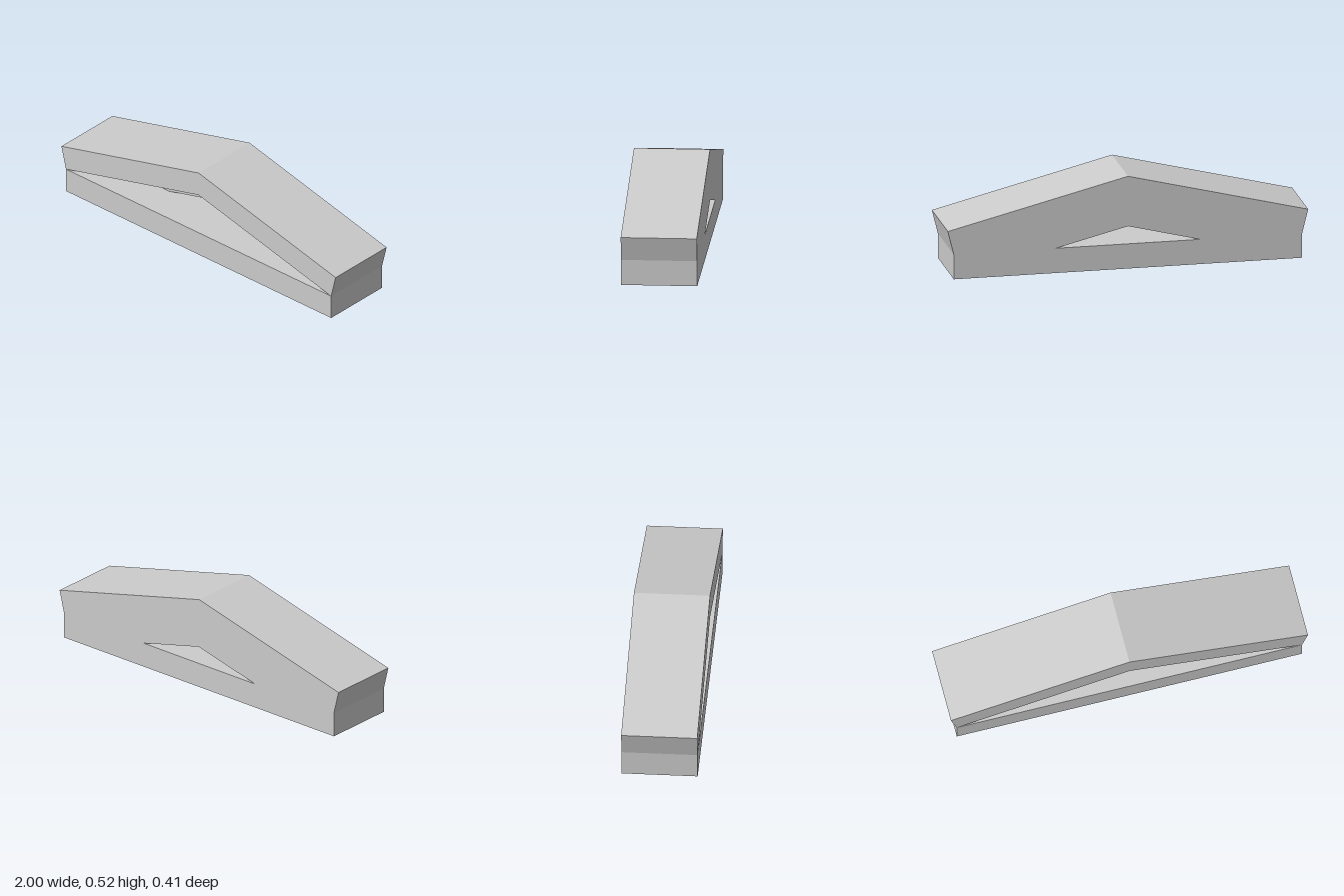
import * as THREE from 'three';

const HALF_DEPTH = 0.207;
const BASE_HEIGHT = 0.14;
const BASE_HALF_WIDTH = 0.967;

export function createModel() {
  const group = new THREE.Group();
  const material = new THREE.MeshStandardMaterial({ color: 0xcccccc, flatShading: true });

  const add = (name, geometry) => {
    const mesh = new THREE.Mesh(geometry, material);
    mesh.name = name;
    group.add(mesh);
    return mesh;
  };

  // Extrudes an outline of [x, y] corners from z = back to z = front
  const slab = (name, corners, back, front) => {
    const shape = new THREE.Shape(corners.map(([x, y]) => new THREE.Vector2(x, y)));
    const geometry = new THREE.ExtrudeGeometry(shape, { depth: front - back, bevelEnabled: false });
    add(name, geometry.translate(0, 0, back));
  };

  // Horizontal beam under the gable
  const beam = new THREE.BoxGeometry(2 * BASE_HALF_WIDTH, BASE_HEIGHT, 2 * HALF_DEPTH);
  add('baseBeam', beam.translate(0, BASE_HEIGHT / 2, 0));

  // Sloping rafters meeting at the ridge, with ends cut square to the slope
  slab('gableRafters', [
    [-BASE_HALF_WIDTH, BASE_HEIGHT], [0, 0.382], [BASE_HALF_WIDTH, BASE_HEIGHT],
    [1, 0.273], [0, 0.523], [-1, 0.273],
  ], -HALF_DEPTH, HALF_DEPTH);

  // Recessed wall filling the rear half, with a triangular opening
  slab('recessedPanel', [
    [-BASE_HALF_WIDTH, BASE_HEIGHT], [-0.4, BASE_HEIGHT], [0, 0.24],
    [0.4, BASE_HEIGHT], [BASE_HALF_WIDTH, BASE_HEIGHT], [0, 0.382],
  ], -HALF_DEPTH, 0);

  return group;
}
